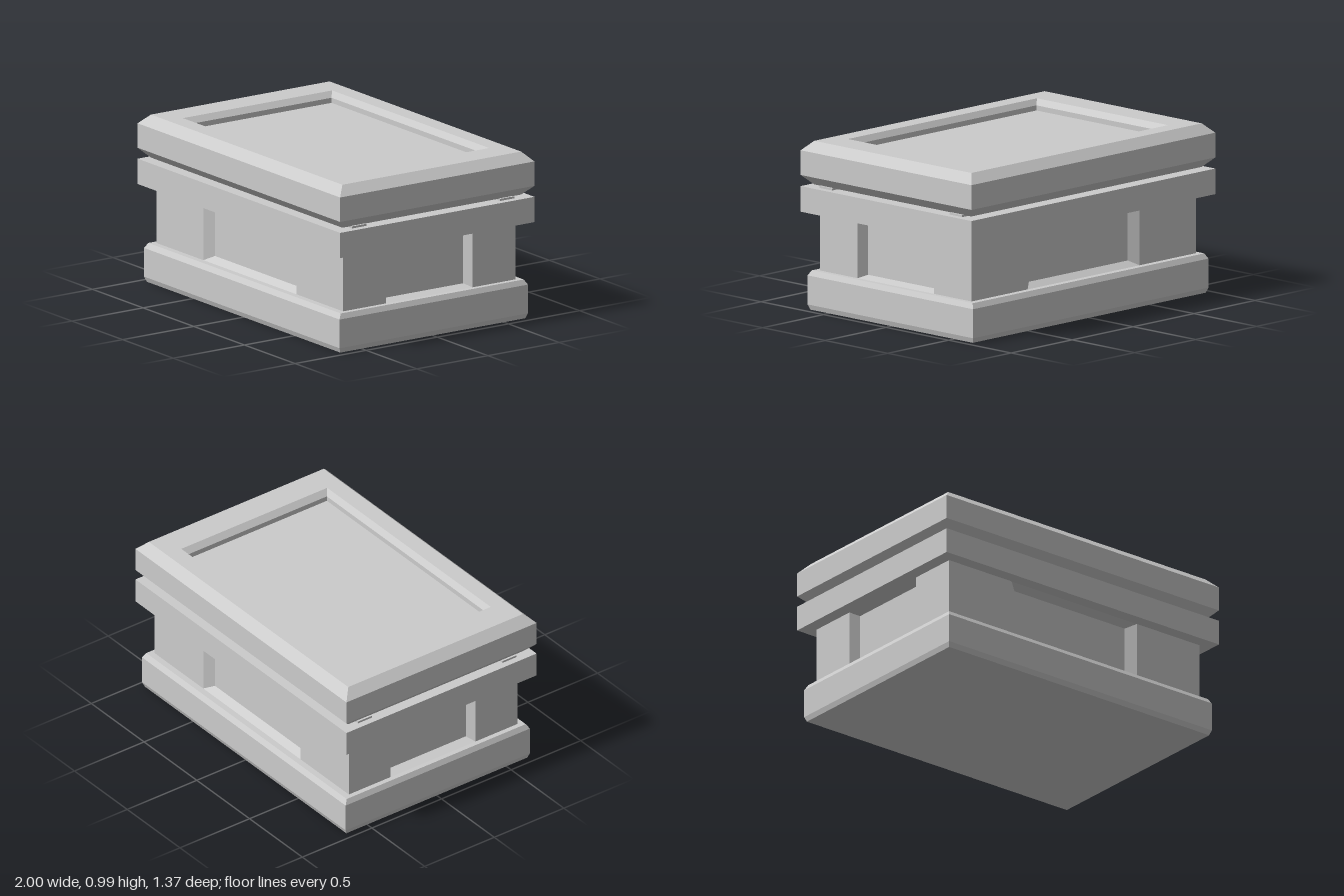
import * as THREE from 'three';

const material = new THREE.MeshStandardMaterial({ color: 0xcccccc, flatShading: true });

// Lofts rectangular rings [halfX, halfZ, y]; the last ring is capped, the first optionally.
function loft(name, rings, capStart = true) {
  const positions = [], index = [];
  for (const [x, z, y] of rings) positions.push(x, y, z, x, y, -z, -x, y, -z, -x, y, z);
  for (let r = 0; r < rings.length - 1; r++) {
    for (let i = 0; i < 4; i++) {
      const a = r * 4 + i, b = r * 4 + (i + 1) % 4;
      index.push(a, b, b + 4, a, b + 4, a + 4);
    }
  }
  const e = (rings.length - 1) * 4;
  index.push(e, e + 1, e + 2, e, e + 2, e + 3);
  if (capStart) index.push(0, 2, 1, 0, 3, 2);
  const indexed = new THREE.BufferGeometry();
  indexed.setAttribute('position', new THREE.Float32BufferAttribute(positions, 3));
  indexed.setIndex(index);
  const geometry = indexed.toNonIndexed();
  geometry.computeVertexNormals();
  const mesh = new THREE.Mesh(geometry, material);
  mesh.name = name;
  return mesh;
}

function box(name, w, h, d, x, y, z) {
  const mesh = new THREE.Mesh(new THREE.BoxGeometry(w, h, d), material);
  mesh.name = name;
  mesh.position.set(x, y, z);
  return mesh;
}

export function createModel() {
  const model = new THREE.Group();
  model.name = 'chest';

  // Plinth with small chamfers
  model.add(loft('base', [
    [0.955, 0.65, 0], [0.965, 0.662, 0.03], [0.965, 0.662, 0.2], [0.95, 0.643, 0.23],
  ]));

  // Body: a core, four corner pillars and a sunken panel on every side
  const bottom = 0.23, top = 0.575, midY = (bottom + top) / 2, height = top - bottom;
  model.add(box('bodyCore', 1.7, height, 1.1, 0, midY, 0));
  for (const sx of [1, -1]) {
    for (const sz of [1, -1]) {
      model.add(box('cornerPillar', 0.46, height, 0.3, sx * 0.69, midY, sz * 0.455));
    }
  }
  function addPanel(name, angle, rings) {
    const panel = loft(name, rings, false);
    panel.rotation.x = Math.PI / 2;
    const holder = new THREE.Group();
    holder.name = name + 'Side';
    holder.position.y = midY;
    holder.rotation.y = angle;
    holder.add(panel);
    model.add(holder);
  }
  const half = height / 2;
  const longPanel = [[0.46, half, 0.605], [0.405, half - 0.03, 0.562]];
  const shortPanel = [[0.305, half, 0.92], [0.28, half - 0.015, 0.861]];
  addPanel('frontPanel', 0, longPanel);
  addPanel('backPanel', Math.PI, longPanel);
  addPanel('leftPanel', Math.PI / 2, shortPanel);
  addPanel('rightPanel', -Math.PI / 2, shortPanel);

  // Plain slab above the body
  model.add(box('rimSlab', 2, 0.15, 1.366, 0, 0.65, 0));

  // Low spacers that carry the lid, in rows along the edges
  for (const s of [1, -1]) {
    for (let i = -3; i <= 3; i++) {
      model.add(box('spacer', 0.18, 0.014, 0.1, i * 0.29, 0.73, s * 0.52));
    }
    for (let i = -1; i <= 1; i++) {
      model.add(box('spacer', 0.1, 0.014, 0.19, s * 0.85, 0.73, i * 0.31));
    }
  }

  // Chamfered lid with a bevelled tray sunk into its top
  model.add(loft('lid', [
    [0.945, 0.628, 0.735], [1, 0.683, 0.79], [1, 0.683, 0.935], [0.945, 0.628, 0.99],
    [0.775, 0.524, 0.99], [0.745, 0.499, 0.957], [0.745, 0.499, 0.927],
  ]));

  return model;
}
